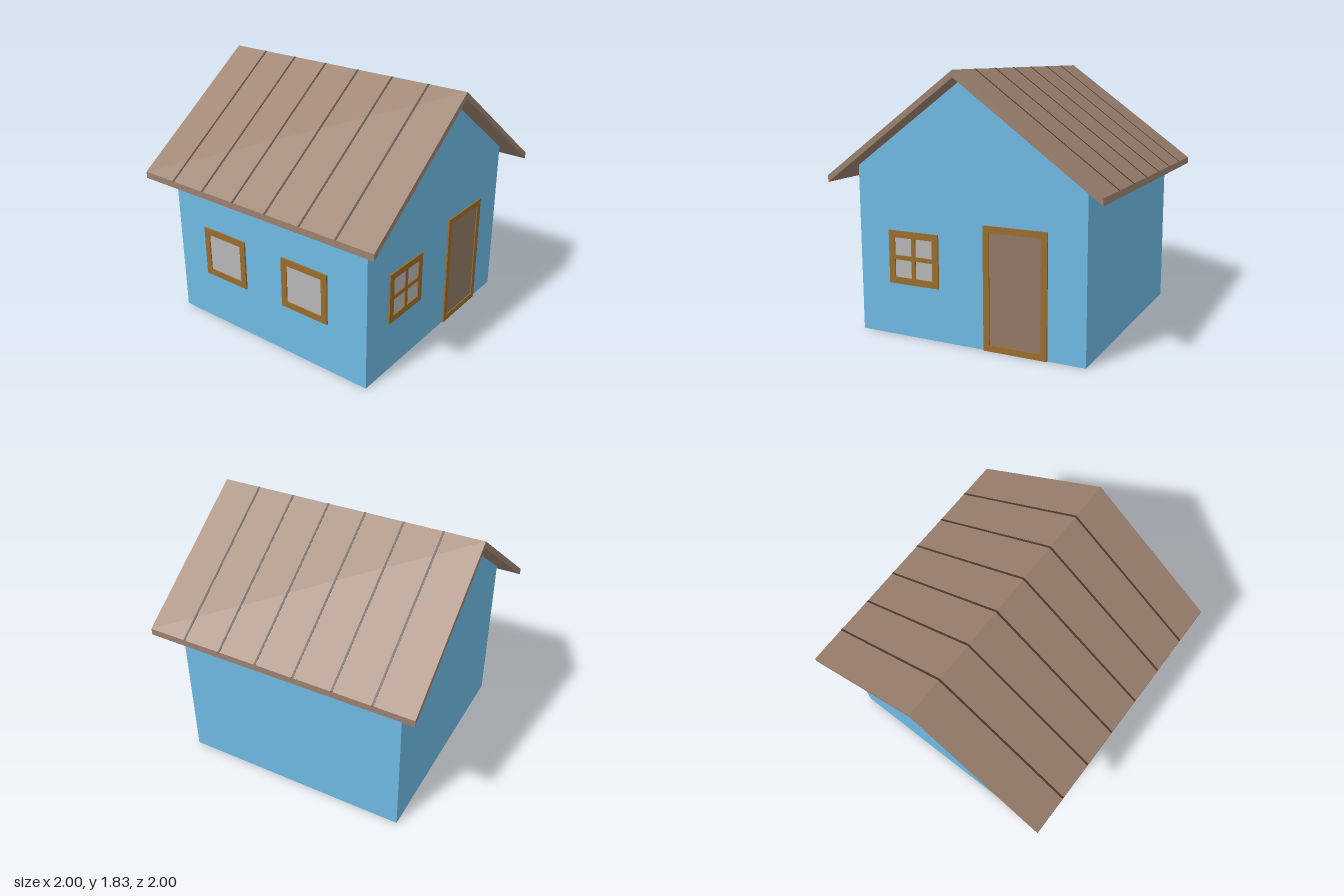
import * as THREE from 'three';

const mat = (color, extra = {}) => new THREE.MeshStandardMaterial({ color, flatShading: true, ...extra });
const wallMat = mat(0x6eb9e2);
const roofMat = mat(0x9b806d);
const seamMat = mat(0x4b3c32);
const frameMat = mat(0x9a6c2b);
const glassMat = mat(0xb6b6b6);

function mesh(name, geometry, material) {
  const m = new THREE.Mesh(geometry, material);
  m.name = name;
  return m;
}

// Extrudes a (z, y) outline along x, centred on x = 0
function extrudeAlongX(points, length) {
  const shape = new THREE.Shape(points.map(([z, y]) => new THREE.Vector2(-z, y)));
  const g = new THREE.ExtrudeGeometry(shape, { depth: length, bevelEnabled: false });
  return g.translate(0, 0, -length / 2).rotateY(Math.PI / 2);
}

function rectPath(Type, x0, y0, x1, y1) {
  return new Type([[x0, y0], [x1, y0], [x1, y1], [x0, y1]].map(([x, y]) => new THREE.Vector2(x, y)));
}

// Framed opening facing +z, base centre at the origin, split into n x n panes
function framedPanel(name, w, h, border, n, panelMat) {
  const group = new THREE.Group();
  group.name = name;
  const bar = 0.03;
  const pw = (w - 2 * border - (n - 1) * bar) / n;
  const ph = (h - 2 * border - (n - 1) * bar) / n;
  const shape = rectPath(THREE.Shape, -w / 2, 0, w / 2, h);
  for (let i = 0; i < n; i++) {
    for (let j = 0; j < n; j++) {
      const x = -w / 2 + border + i * (pw + bar);
      const y = border + j * (ph + bar);
      shape.holes.push(rectPath(THREE.Path, x, y, x + pw, y + ph));
    }
  }
  const frame = new THREE.ExtrudeGeometry(shape, { depth: 0.012, bevelEnabled: false });
  const panel = new THREE.PlaneGeometry(w - 2 * border, h - 2 * border).translate(0, h / 2, 0.004);
  group.add(mesh(name + 'Frame', frame, frameMat), mesh(name + 'Panel', panel, panelMat));
  return group;
}

export function createModel() {
  const house = new THREE.Group();
  house.name = 'house';
  const wall = 0.84, eave = 0.987, ridge = 1.825, eaveTop = 1.11, thick = 0.047;
  const slope = (ridge - eaveTop) / eave;

  // Gabled walls with closed floor
  const wallTop = ridge - thick - slope * wall;
  house.add(mesh('walls', extrudeAlongX(
    [[wall, 0], [-wall, 0], [-wall, wallTop], [0, ridge - thick], [wall, wallTop]], 2 * wall), wallMat));

  // Folded roof slab
  house.add(mesh('roof', extrudeAlongX([
    [eave, eaveTop], [eave, eaveTop - thick], [0, ridge - thick],
    [-eave, eaveTop - thick], [-eave, eaveTop], [0, ridge]], 2 * eave), roofMat));

  // Dark seams between the seven roof boards
  const boards = 7, lift = 0.002;
  for (let i = 1; i < boards; i++) {
    const seam = mesh('roofSeam', extrudeAlongX([
      [eave, eaveTop + lift], [eave, eaveTop - lift], [0, ridge - lift],
      [-eave, eaveTop - lift], [-eave, eaveTop + lift], [0, ridge + lift]], 0.014), seamMat);
    seam.position.x = (i / boards - 0.5) * 2 * eave;
    house.add(seam);
  }

  // Two single-pane windows on the front
  for (const x of [-0.385, 0.335]) {
    const win = framedPanel('frontWindow', 0.387, 0.37, 0.046, 1, glassMat);
    win.position.set(x, 0.37, wall);
    house.add(win);
  }

  // Four-pane window and door on the gable side
  const sideWindow = framedPanel('sideWindow', 0.387, 0.37, 0.046, 2, glassMat);
  sideWindow.position.set(wall, 0.37, 0.407);
  const door = framedPanel('door', 0.453, 0.84, 0.043, 1, mat(0x917866));
  door.position.set(wall, 0, -0.352);
  for (const part of [sideWindow, door]) {
    part.rotation.y = Math.PI / 2;
    house.add(part);
  }

  // The house stands very slightly turned
  house.rotation.y = -0.0127;
  const root = new THREE.Group();
  root.add(house);
  return root;
}
